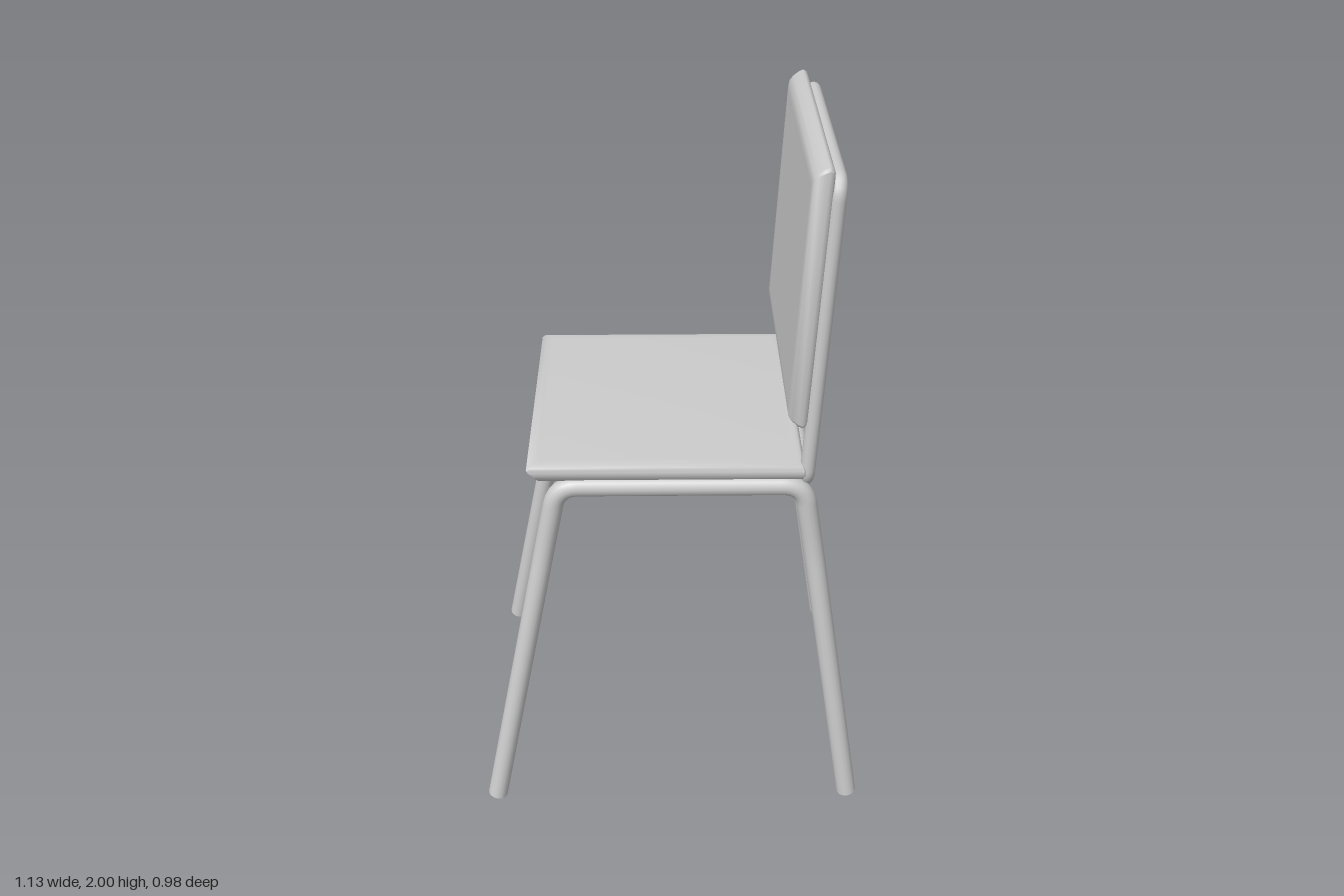
import * as THREE from 'three';
import { toCreasedNormals } from 'three/addons/utils/BufferGeometryUtils.js';

const material = new THREE.MeshStandardMaterial({ color: 0xcccccc });
const V = (x, y, z) => new THREE.Vector3(x, y, z);

function addMesh(parent, geometry, name) {
  const mesh = new THREE.Mesh(geometry, material);
  mesh.name = name;
  parent.add(mesh);
  return mesh;
}

// Straight runs joined by rounded corners
function bentPath(points, bend, closed) {
  const path = new THREE.CurvePath();
  const n = points.length;
  const toward = (a, b) => a.clone().add(b.clone().sub(a).setLength(bend));
  let last = closed ? toward(points[0], points[1]) : points[0];
  for (let i = 1; i < (closed ? n + 1 : n - 1); i++) {
    const p = points[i % n];
    const start = toward(p, points[(i - 1) % n]);
    const end = toward(p, points[(i + 1) % n]);
    path.add(new THREE.LineCurve3(last, start));
    path.add(new THREE.QuadraticBezierCurve3(start, p, end));
    last = end;
  }
  if (!closed) path.add(new THREE.LineCurve3(last, points[n - 1]));
  return path;
}

// Cushion lofted through rounded rectangles; layers are
// [height, inset of both sides, inset of the -x end, inset of the +x end]
function padGeometry(length, width, r, layers) {
  const steps = 5, ring = 4 * (steps + 1);
  const pos = [], idx = [];
  for (const [y, side, near, far] of layers) {
    const x0 = -length / 2 + near + r, x1 = length / 2 - far - r;
    const hz = width / 2 - side - r;
    for (let c = 0; c < 4; c++) {
      const cx = c === 0 || c === 3 ? x1 : x0, cz = c < 2 ? hz : -hz;
      for (let s = 0; s <= steps; s++) {
        const a = (c + s / steps) * Math.PI / 2;
        pos.push(cx + r * Math.cos(a), y, cz + r * Math.sin(a));
      }
    }
  }
  const top = layers.length - 1, centre = pos.length / 3;
  pos.push(0, layers[0][0], 0, 0, layers[top][0], 0);
  for (let i = 0; i < ring; i++) {
    const j = (i + 1) % ring;
    for (let k = 0; k < top; k++) {
      const a = k * ring + i, b = k * ring + j;
      idx.push(a, a + ring, b, b, a + ring, b + ring);
    }
    idx.push(centre, i, j, centre + 1, top * ring + j, top * ring + i);
  }
  const g = new THREE.BufferGeometry();
  g.setAttribute('position', new THREE.Float32BufferAttribute(pos, 3));
  g.setIndex(idx);
  return toCreasedNormals(g, 0.85);
}

export function createModel() {
  const chair = new THREE.Group();
  chair.name = 'chair';

  // Seat cushion: front edge undercut to a lip, sides and rear softly rounded
  const seat = addMesh(chair, padGeometry(0.768, 0.81, 0.004, [
    [0, 0.03, 0.05, 0.03], [0, 0.016, 0.035, 0.014], [0.006, 0.007, 0.03, 0.006],
    [0.02, 0.001, 0.016, 0], [0.034, 0, 0.003, 0], [0.04, 0.001, 0, 0.003],
    [0.048, 0.006, 0.008, 0.009], [0.053, 0.016, 0.017, 0.018], [0.055, 0.04, 0.035, 0.04],
  ]), 'seat');
  seat.position.set(-0.018, 1.091, -0.005);

  // Bent tube on each side: front leg, seat rail and rear leg in one piece
  const r = 0.029, kneeY = 0.86, kneeZ = 0.382, footZ = 0.457, widen = 0.14;
  for (const s of [1, -1]) {
    const side = new THREE.Group();
    side.name = s > 0 ? 'leftLegFrame' : 'rightLegFrame';
    const path = bentPath([
      V(-0.535, 0.008, s * footZ), V(-0.363, kneeY, s * kneeZ), V(-0.32, 1.072, s * kneeZ),
      V(0.365, 1.072, s * kneeZ), V(0.4, kneeY, s * kneeZ), V(0.533, 0.008, s * footZ),
    ], 0.06, false);
    const tube = new THREE.TubeGeometry(path, 180, r, 16, false);
    // Legs widen sideways from knee to foot
    const p = tube.attributes.position;
    for (let i = 0; i < p.count; i++) {
      const t = Math.max(0, 1 - p.getY(i) / kneeY);
      const mid = s * (kneeZ + (footZ - kneeZ) * t);
      p.setZ(i, mid + (p.getZ(i) - mid) * (1 + widen * t));
    }
    addMesh(side, tube, 'legTube');
    for (const t of [0, 1]) {
      const cap = addMesh(side, new THREE.CircleGeometry(r, 16), 'footCap');
      const out = path.getTangentAt(t).multiplyScalar(t ? 1 : -1);
      cap.position.copy(path.getPointAt(t));
      cap.quaternion.setFromUnitVectors(V(0, 0, 1), out);
      cap.scale.y = 1 + widen;
    }
    chair.add(side);
  }

  // Closed tube loop carrying the backrest
  const loop = bentPath([
    V(0.371, 1.076, 0.375), V(0.417, 1.956, 0.375),
    V(0.417, 1.956, -0.386), V(0.371, 1.076, -0.386),
  ], 0.045, true);
  addMesh(chair, new THREE.TubeGeometry(loop, 240, 0.021, 14, true), 'backFrame');

  // Backrest cushion leaning with the frame, its top and bottom ends bevelled
  const back = addMesh(chair, padGeometry(0.744, 0.8, 0.01, [
    [0, 0.03, 0.03, 0.03], [0, 0.01, 0.014, 0.014], [0.005, 0.003, 0.004, 0.004],
    [0.014, 0, 0, 0], [0.026, 0, 0.005, 0.005], [0.042, 0.003, 0.018, 0.018],
    [0.051, 0.008, 0.028, 0.028], [0.055, 0.016, 0.04, 0.04], [0.055, 0.04, 0.06, 0.06],
  ]), 'backrest');
  back.rotation.z = Math.PI / 2 - 0.053;
  back.position.set(0.384, 1.627, -0.006);

  return chair;
}
